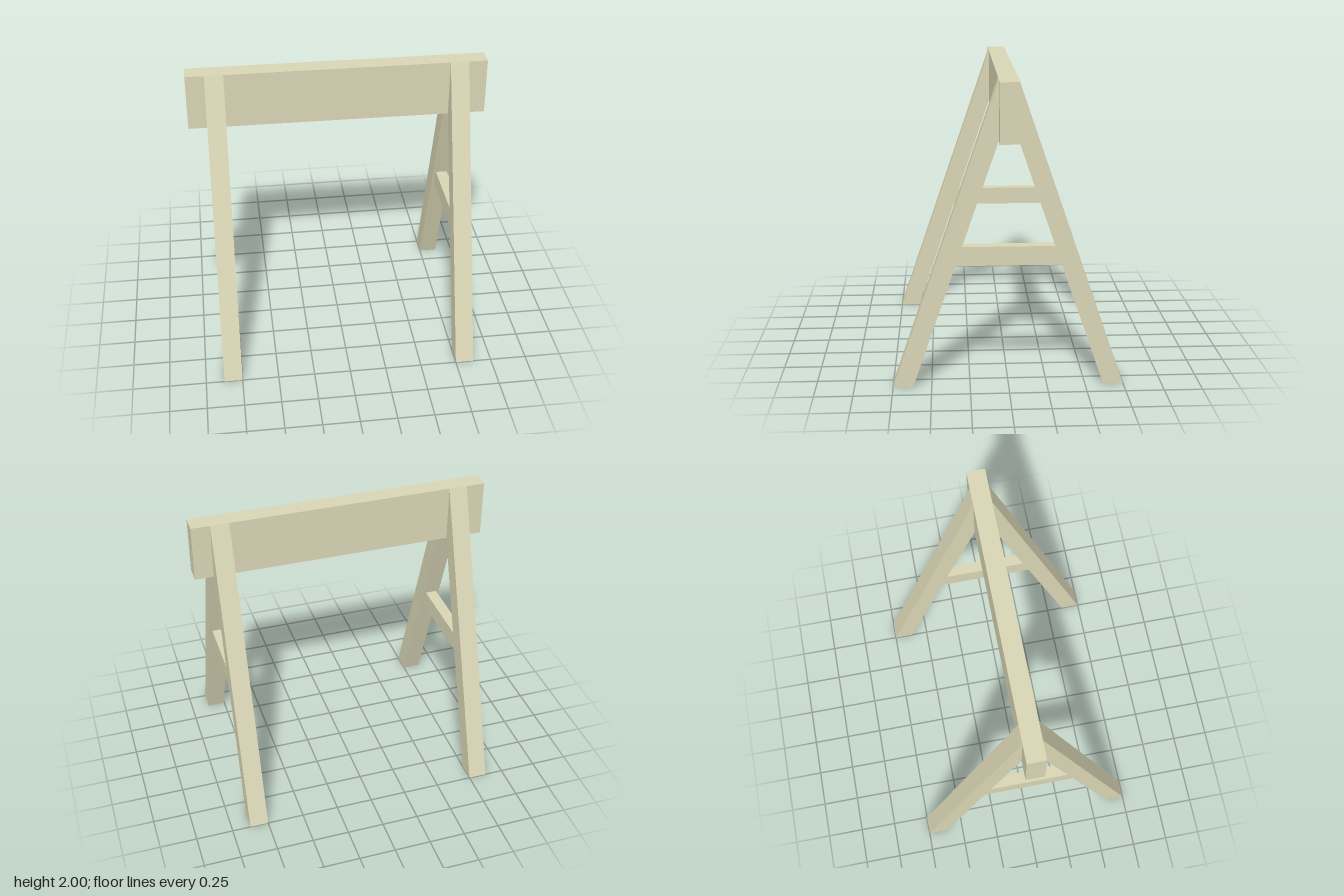
import * as THREE from 'three';

const WOOD = new THREE.MeshStandardMaterial({ color: 0xd8d4b4, flatShading: true });

// Extrudes a [z, y] profile along x, centred on the given x
function plank(name, profile, width, x) {
  const shape = new THREE.Shape(profile.map(([z, y]) => new THREE.Vector2(-z, y)));
  const geometry = new THREE.ExtrudeGeometry(shape, { depth: width, bevelEnabled: false });
  geometry.translate(0, 0, -width / 2);
  geometry.rotateY(Math.PI / 2);
  const mesh = new THREE.Mesh(geometry, WOOD);
  mesh.name = name;
  mesh.position.x = x;
  return mesh;
}

export function createModel() {
  const model = new THREE.Group();
  model.name = 'sawhorse';

  const thick = 0.125, half = thick / 2;
  const beamBottom = 1.62, legX = 0.8125, footZ = 0.75;
  const slope = (footZ - half) / 2;
  const innerZ = (y) => half + slope * (beamBottom - y);

  // Top beam
  const beam = new THREE.Mesh(new THREE.BoxGeometry(2, 2 - beamBottom, thick), WOOD);
  beam.name = 'beam';
  beam.position.y = (2 + beamBottom) / 2;
  model.add(beam);

  for (const [side, sx] of [['left', 1], ['right', -1]]) {
    // Splayed legs, mitred against the beam and cut level at the floor
    for (const [end, sz] of [['Front', 1], ['Back', -1]]) {
      const profile = [[half, 2], [footZ, 0], [innerZ(0), 0], [half, beamBottom]];
      model.add(plank(side + end + 'Leg', profile.map(([z, y]) => [z * sz, y]), thick, sx * legX));
    }

    // Cross brace fitted between the two legs
    const lo = 0.81, hi = 0.935;
    model.add(plank(side + 'Brace', [
      [-innerZ(lo), lo], [innerZ(lo), lo], [innerZ(hi), hi], [-innerZ(hi), hi],
    ], 0.08, sx * legX));
  }
  return model;
}
